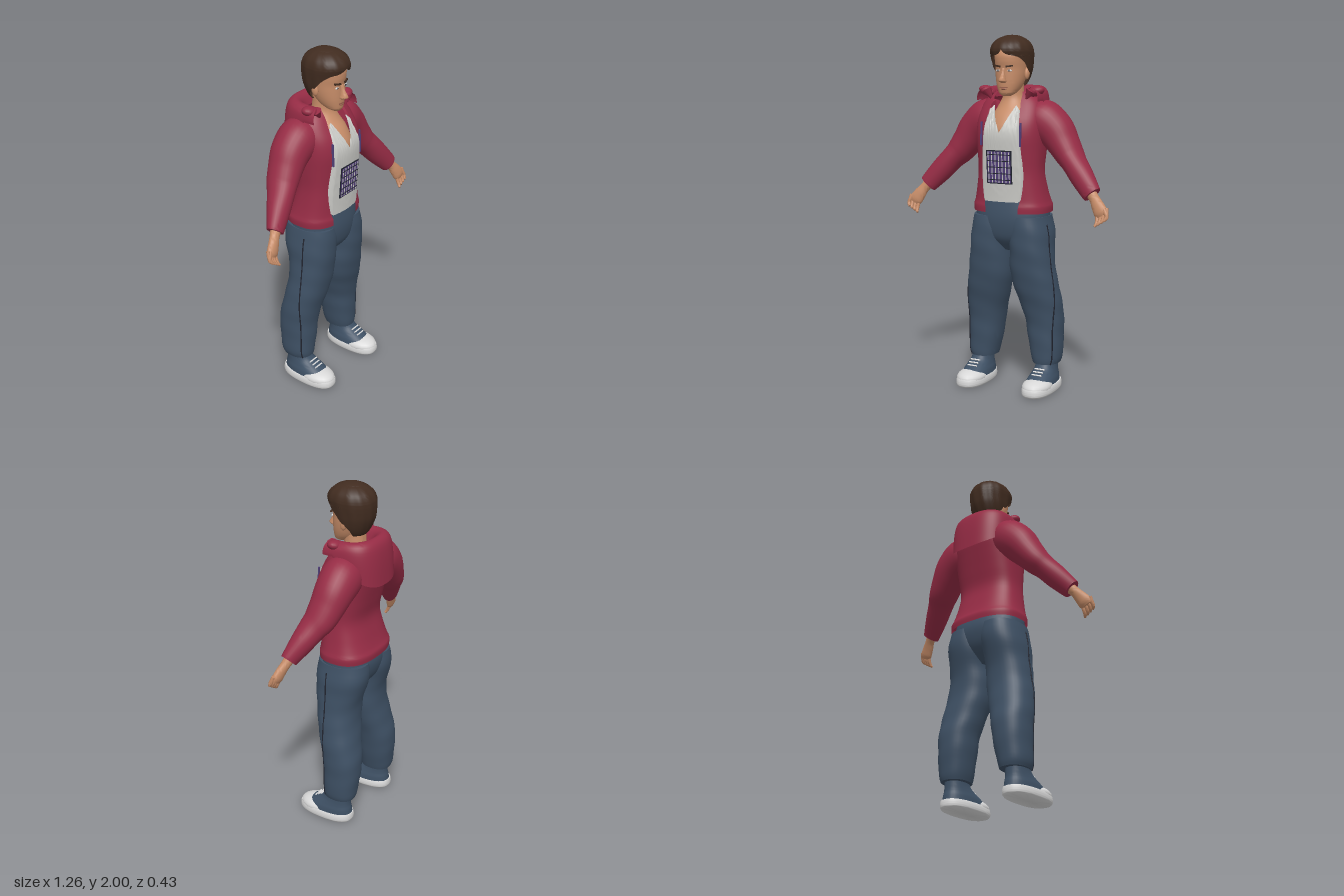
import * as THREE from 'three';
import { toCreasedNormals } from 'three/addons/utils/BufferGeometryUtils.js';

const paint = (name, color, side = THREE.FrontSide) => {
  const m = new THREE.MeshStandardMaterial({ color, side });
  m.name = name;
  return m;
};

// Smoothly resample rows of numbers (Catmull-Rom on every column)
function smooth(rows, sub) {
  const out = [], at = i => rows[Math.min(Math.max(i, 0), rows.length - 1)];
  for (let i = 0; i < rows.length - 1; i++)
    for (let k = 0; k < sub; k++) {
      const t = k / sub;
      out.push(at(i).map((b, c) => {
        const a = at(i - 1)[c], d = at(i + 1)[c], e = at(i + 2)[c];
        return b + 0.5 * t * (d - a + t * (2 * a - 5 * b + 4 * d - e + t * (3 * (b - d) + e - a)));
      }));
    }
  out.push(rows[rows.length - 1]);
  return out;
}

// Join equal-length rings of points into a surface, optionally capped
function skin(rings, cap = false) {
  if (cap) {
    const flat = r => {
      const c = r.reduce((a, p) => a.add(p), new THREE.Vector3()).divideScalar(r.length);
      return r.map(() => c);
    };
    rings = [flat(rings[0]), ...rings, flat(rings[rings.length - 1])];
  }
  const n = rings[0].length, index = [];
  for (let i = 0; i < rings.length - 1; i++)
    for (let j = 0; j < n - 1; j++) {
      const a = i * n + j, b = a + n;
      index.push(a, a + 1, b, a + 1, b + 1, b);
    }
  const geo = new THREE.BufferGeometry().setFromPoints(rings.flat());
  geo.setIndex(index);
  return toCreasedNormals(geo, 1.1);
}

const pow = (v, p) => Math.sign(v) * Math.abs(v) ** p;

// Stack of horizontal rounded sections: [y, halfWidth, zFront, zBack, frontGapAngle, centreX]
function loft(rows, { s = 1, n = 2, seg = 36, sub = 4, cap = false, ripple = () => 1 } = {}) {
  const full = rows.map(([y, rx, zf, zb, g = 0, cx = 0]) => [y, rx, zf, zb, g, cx]);
  return skin(smooth(full, sub).map(([y, rx, zf, zb, g, cx]) =>
    Array.from({ length: seg + 1 }, (_, j) => {
      const gap = Math.max(g, 0), a = gap + (2 * Math.PI - 2 * gap) * j / seg, k = ripple(a, y);
      return new THREE.Vector3(s * cx + k * rx * pow(Math.sin(a), 2 / n), y,
        (zf + zb) / 2 + k * (zf - zb) / 2 * pow(Math.cos(a), 2 / n));
    })), cap);
}

// Limb along a path: [x, y, z, depthRadius, widthRadius]
function limb(rows, s, seg = 20, sub = 5) {
  const pts = smooth(rows.map(([x, ...r]) => [s * x, ...r]), sub);
  const pos = pts.map(p => new THREE.Vector3(p[0], p[1], p[2]));
  return skin(pts.map((p, i) => {
    const t = pos[Math.min(i + 1, pos.length - 1)].clone().sub(pos[Math.max(i - 1, 0)]).normalize();
    const d0 = new THREE.Vector3(0, 0, 1).addScaledVector(t, -t.z).normalize();
    const d1 = t.clone().cross(d0);
    return Array.from({ length: seg + 1 }, (_, j) => {
      const a = 2 * Math.PI * j / seg;
      return pos[i].clone().addScaledVector(d0, p[3] * Math.cos(a)).addScaledVector(d1, p[4] * Math.sin(a));
    });
  }), true);
}

export function createModel() {
  const root = new THREE.Group();
  const red = paint('jacketRed', 0x962c45, THREE.DoubleSide), jean = paint('denimBlue', 0x3e5064, THREE.DoubleSide);
  const pale = paint('shirtGrey', 0xcacac6, THREE.DoubleSide), white = paint('shoeWhite', 0xd8d8d8);
  const flesh = paint('skin', 0xc68c68), lip = paint('lip', 0x9c6450), hairCol = paint('hairBrown', 0x412c20, THREE.DoubleSide);
  const purple = paint('printPurple', 0x52407a), dark = paint('darkLine', 0x222530);
  const add = (name, geo, mat, x = 0, y = 0, z = 0) => {
    const m = new THREE.Mesh(geo, mat);
    m.name = name;
    m.position.set(x, y, z);
    root.add(m);
    return m;
  };
  const box = (w, h, d) => new THREE.BoxGeometry(w, h, d);
  const ball = (x, y, z) => new THREE.SphereGeometry(1, 20, 14).scale(x, y, z);

  // Trousers
  add('trouserSeat', loft([[.8, .05, .06, -.06], [.86, .15, .115, -.12], [.92, .205, .135, -.15],
    [1, .216, .14, -.16], [1.1, .2, .125, -.13]], { n: 2.3, cap: true }), jean);
  const leg = [[.15, .075, .045, -.135, 0, .2], [.19, .086, .05, -.145, 0, .2], [.3, .098, .055, -.158, 0, .19],
    [.4, .107, .06, -.16, 0, .183], [.5, .12, .08, -.142, 0, .168], [.6, .128, .105, -.125, 0, .147],
    [.7, .127, .122, -.118, 0, .131], [.8, .12, .135, -.135, 0, .126], [.9, .122, .14, -.165, 0, .118],
    [1, .112, .133, -.16, 0, .108]];

  for (const s of [1, -1]) {
    const side = s > 0 ? 'left' : 'right';
    add(side + 'TrouserLeg', loft(leg, { s, n: 2.3, cap: true, ripple: (a, y) => 1 + .01 * Math.sin(48 * y + 2 * Math.sin(a)) }), jean);
    const seam = smooth(leg, 2).slice(0, -1).map(([y, rx, zf, zb, , cx]) => {
      const d = Math.abs(.025 - (zf + zb) / 2) / ((zf - zb) / 2);
      return new THREE.Vector3(s * (cx + rx * (1 - d ** 2.3) ** (1 / 2.3)), y, .025);
    });
    add(side + 'TrouserSeam', new THREE.TubeGeometry(new THREE.CatmullRomCurve3(seam), 40, .004, 6), dark);

    // Shoes
    add(side + 'Sole', loft([[0, .076, .208, -.122], [.012, .084, .218, -.13], [.035, .084, .218, -.13],
      [.048, .08, .214, -.127]], { s, n: 2.5, cap: true }).translate(s * .21, 0, 0), white);
    add(side + 'ShoeUpper', loft([[.045, .077, .195, -.122], [.075, .073, .16, -.118], [.1, .065, .115, -.112],
      [.13, .058, .06, -.11], [.17, .055, .035, -.11]], { n: 2.3, cap: true }).translate(s * .207, 0, 0), jean);
    add(side + 'ToeCap', ball(.081, .046, .113), white, s * .21, .045, .102);
    for (let i = 0; i < 3; i++)
      add(side + 'Lace', box(.06, .007, .008), white, s * .207, .106 + .012 * i, .108 - .02 * i).rotation.x = -.7;

    // Sleeves
    add(side + 'Sleeve', limb([[.1, 1.55, -.04, .1, .09], [.17, 1.53, -.045, .115, .118], [.245, 1.475, -.045, .108, .108],
      [.3, 1.405, -.035, .098, .09], [.345, 1.345, -.02, .09, .078], [.385, 1.3, .002, .078, .068],
      [.44, 1.235, .03, .064, .066], [.5, 1.165, .06, .046, .057], [.515, 1.148, .066, .042, .053]], s, 28), red);

    // Hand with curled fingers
    add(side + 'Palm', limb([[.49, 1.175, .058, .03, .034], [.53, 1.13, .075, .025, .029], [.555, 1.095, .088, .024, .036],
      [.578, 1.06, .098, .022, .041], [.588, 1.04, .102, .014, .034]], s), flesh);
    for (let i = 0; i < 4; i++) {
      const x = .557 + .018 * i, y = 1.032 + .011 * i;
      add(side + 'Finger', limb([[x, y + .02, .098, .01, .01], [x + .005, y - .012, .108, .0105, .0105],
        [x + .004, y - .035, .12, .0095, .0095], [x - .004, y - .046, .128, .006, .006]], s, 10, 3), flesh);
    }
    add(side + 'Thumb', limb([[.57, 1.1, .09, .016, .016], [.6, 1.075, .102, .013, .013],
      [.617, 1.045, .113, .011, .011], [.622, 1.028, .118, .006, .006]], s, 10, 3), flesh);

    // Jacket opening trim and bunched hood ends
    add(side + 'OpeningTrim', box(.01, .13, .008), purple, s * .12, 1.46, .143).rotation.x = -.05;
    add(side + 'HoodFold', ball(.052, .028, .04), red, s * .15, 1.692, .012).rotation.z = s * .25;
    add(side + 'HoodTip', new THREE.ConeGeometry(.028, .07, 6), red, s * .118, 1.668, .045).rotation.z = s * 2.6;
  }

  // Jacket body, open at the front: [y, halfWidth, zFront, zBack, openingHalfWidth]
  const body = [[1.02, .224, .142, -.172, .1], [1.055, .226, .143, -.174, .102], [1.085, .217, .137, -.16, .108],
    [1.15, .203, .135, -.138, .122], [1.25, .19, .134, -.115, .122], [1.35, .194, .143, -.135, .117],
    [1.45, .2, .151, -.16, .11], [1.53, .2, .137, -.178, .104], [1.6, .188, .1, -.174, .094],
    [1.65, .16, .068, -.15, .085], [1.69, .105, .04, -.115, .075]];
  add('jacketBody', loft(body.map(([y, rx, zf, zb, x]) => [y, rx, zf, zb, Math.asin((x / rx) ** 1.3)]), { n: 2.6, seg: 48 }), red);

  // Hood lying on the back: horseshoe rows [halfWidth, depth, y, rise of the ends]
  const hood = smooth([[.09, .095, 1.66, 0], [.115, .12, 1.705, 0], [.15, .155, 1.722, -.01], [.18, .19, 1.69, 0],
    [.19, .207, 1.6, .06], [.19, .214, 1.47, .17]], 4);
  add('hood', skin(hood.map(([rx, rz, y, rise]) => Array.from({ length: 41 }, (_, j) => {
    const a = (j / 20 - 1) * 1.75, c = Math.cos(a);
    return new THREE.Vector3(rx * pow(Math.sin(a), .8), y + rise * (1 - Math.max(c, 0) ** .5), -rz * pow(c, .65));
  }))), red);

  // Shirt front with a V neck
  const chest = smooth([[1.085, .146, .122], [1.2, .152, .13], [1.35, .163, .122], [1.47, .166, .113],
    [1.55, .132, .105], [1.62, .088, .098]], 6);
  const depthAt = y => chest.reduce((a, b) => Math.abs(b[0] - y) < Math.abs(a[0] - y) ? b : a);
  const panel = Array.from({ length: 29 }, (_, i) => Array.from({ length: 37 }, (_, j) => {
    const u = j / 18 - 1, v = i / 28, au = Math.abs(u);
    const top = au < .68 ? 1.47 + au * .22 : 1.62 - (au - .68) * .12;
    const base = 1.085 + Math.max(0, au - .85) * .15;
    const y = base + (top - base) * v, [, z, w] = depthAt(y), x = u * w;
    return new THREE.Vector3(x, y, z - 1.2 * x * x - .03 * Math.max(0, au - .92) / .08);
  }));
  add('shirtFront', skin(panel), pale);

  // Printed panel of bars
  const print = new THREE.Group();
  print.name = 'shirtPrint';
  print.position.set(0, 1.28, .161);
  print.rotation.x = .07;
  root.add(print);
  const bar = (name, w, h, mat, x, y, z) => print.add(add(name, box(w, h, .004), mat, x, y, z));
  bar('printBorder', .154, .186, dark, 0, 0, 0);
  bar('printField', .142, .174, purple, 0, 0, .003);
  for (let i = 0; i < 7; i++) bar('printBar', .005, .172, pale, -.063 + .021 * i, 0, .0045);
  for (let i = 0; i < 5; i++) bar('printLine', .142, .004, dark, 0, -.07 + .035 * i, .006);

  // Neck and upper chest
  add('neckAndChest', loft([[1.4, .11, .12, -.08], [1.47, .115, .153, -.09], [1.55, .108, .118, -.1], [1.61, .085, .07, -.095],
    [1.66, .062, .045, -.08], [1.72, .056, .045, -.075], [1.78, .056, .03, -.07]], { cap: true }), flesh);

  // Head
  add('head', loft([[1.667, .022, .093, .045], [1.68, .043, .104, .015], [1.705, .06, .108, -.03], [1.74, .073, .11, -.06],
    [1.78, .081, .11, -.085], [1.82, .084, .11, -.095], [1.86, .086, .117, -.1], [1.9, .086, .113, -.1],
    [1.95, .065, .075, -.08], [1.97, .03, .03, -.04]], { n: 2.2, cap: true }), flesh);
  add('nose', loft([[1.738, .01, .118, .09], [1.746, .02, .142, .09], [1.756, .017, .148, .09], [1.785, .011, .13, .09],
    [1.82, .009, .117, .09]], { cap: true, seg: 16 }), flesh);
  add('mouth', box(.044, .007, .008), lip, 0, 1.714, .107);
  add('lowerLip', ball(.018, .006, .008), lip, 0, 1.706, .104);
  for (const s of [1, -1]) {
    add('ear', ball(.014, .034, .02), flesh, s * .09, 1.79, -.002).rotation.x = -.2;
    add('eyebrow', box(.04, .009, .009), hairCol, s * .036, 1.83, .108).rotation.set(0, s * .3, s * .12);
    add('eye', ball(.014, .006, .005), white, s * .035, 1.806, .103);
    add('iris', ball(.005, .005, .004), dark, s * .034, 1.806, .106);
  }

  // Hair, open around the face
  add('hair', loft([[1.735, .045, .03, -.06, 2], [1.722, .066, .06, -.078, 2], [1.76, .092, .09, -.103, 1.85],
    [1.81, .106, .11, -.124, 1.4], [1.85, .111, .12, -.131, 1.12], [1.88, .114, .128, -.133, .75],
    [1.895, .115, .133, -.133, .2], [1.92, .114, .137, -.13, 0], [1.955, .1, .118, -.112, 0],
    [1.985, .064, .075, -.07, 0], [1.998, .015, .02, -.02, 0]],
  { n: 2.15, seg: 72, cap: false, ripple: (a, y) => 1 + .012 * Math.sin(13 * a + 14 * y) }), hairCol);
  add('hairCrown', ball(.06, .02, .07), hairCol, 0, 1.98, 0);
  return root;
}
